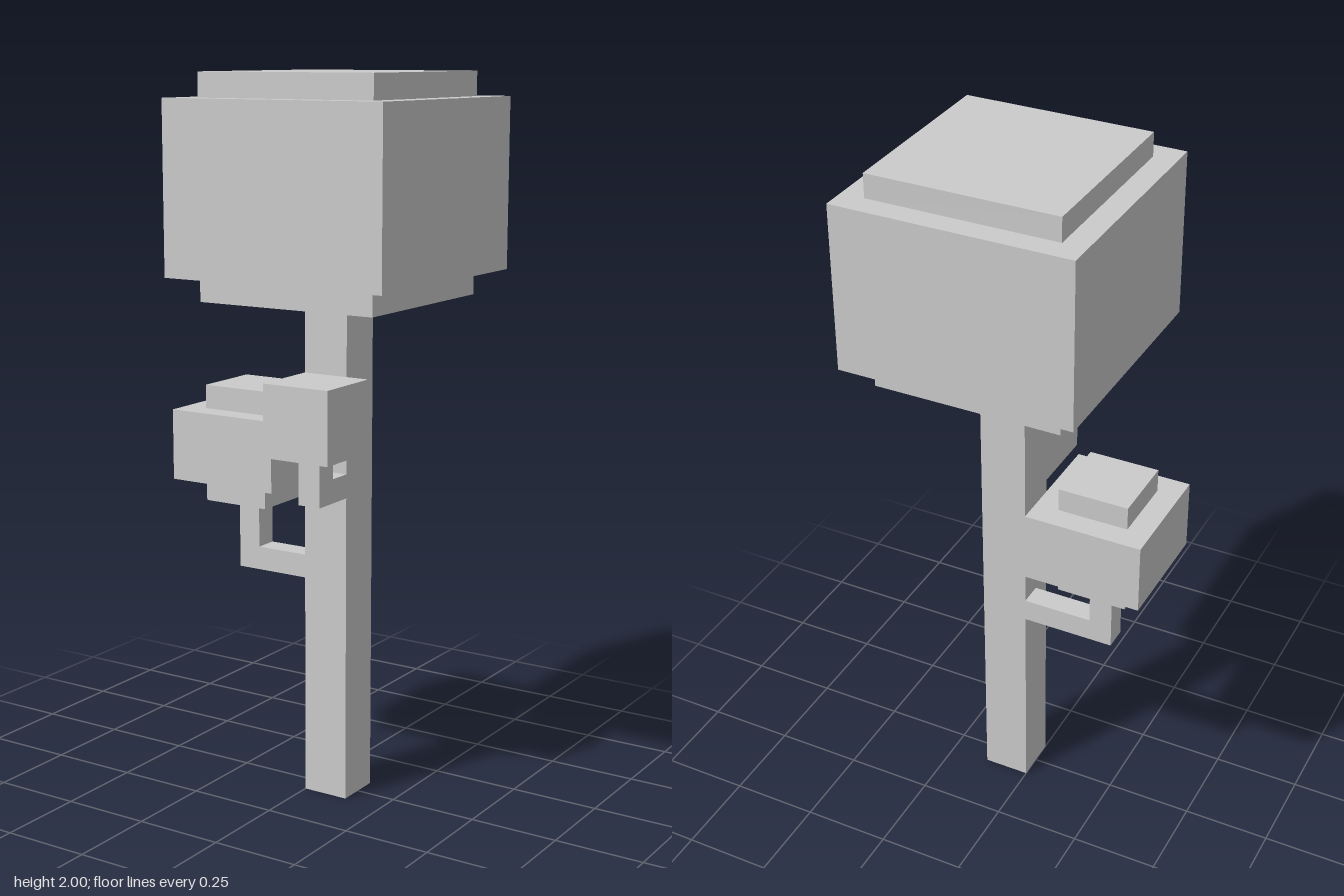
import * as THREE from 'three';

const U = 1 / 15; // one grid cell of the blocky tree
const material = new THREE.MeshStandardMaterial({ color: 0xcccccc, flatShading: true });

// Box between two corners given in grid cells
function block(parent, name, [x0, y0, z0], [x1, y1, z1]) {
  const geometry = new THREE.BoxGeometry((x1 - x0) * U, (y1 - y0) * U, (z1 - z0) * U);
  const mesh = new THREE.Mesh(geometry, material);
  mesh.name = name;
  mesh.position.set((x0 + x1) / 2 * U, (y0 + y1) / 2 * U, (z0 + z1) / 2 * U);
  parent.add(mesh);
}

// Leaf clump: a wide body with a one-cell inset slab above and below
function foliage(parent, name, [x0, y0, z0], [x1, y1, z1]) {
  const group = new THREE.Group();
  group.name = name;
  block(group, 'leafBody', [x0, y0, z0], [x1, y1, z1]);
  block(group, 'leafTop', [x0 + 1, y1, z0 + 1], [x1 - 1, y1 + 1, z1 - 1]);
  block(group, 'leafBottom', [x0 + 1, y0 - 1, z0 + 1], [x1 - 1, y0, z1 - 1]);
  parent.add(group);
}

export function createModel() {
  const tree = new THREE.Group();
  tree.name = 'tree';

  // Trunk and main crown
  block(tree, 'trunk', [0, 0, -1], [2, 21, 1]);
  foliage(tree, 'crown', [-4, 22, -5], [6, 29, 5]);

  // Elbow branch on the right with its leaf clump
  block(tree, 'sideBranch', [-4, 9, -1], [0, 10, 0]);
  block(tree, 'sideBranchUpright', [-4, 10, -1], [-3, 12, 0]);
  foliage(tree, 'sideFoliage', [-6, 13, -3], [-1, 16, 2]);

  // Elbow branch at the front with a small leaf cube
  block(tree, 'frontBranch', [1, 13, 1], [2, 14, 3]);
  block(tree, 'frontBranchUpright', [1, 14, 2], [2, 15, 3]);
  block(tree, 'frontFoliage', [0, 15, 1], [3, 18, 4]);

  return tree;
}
